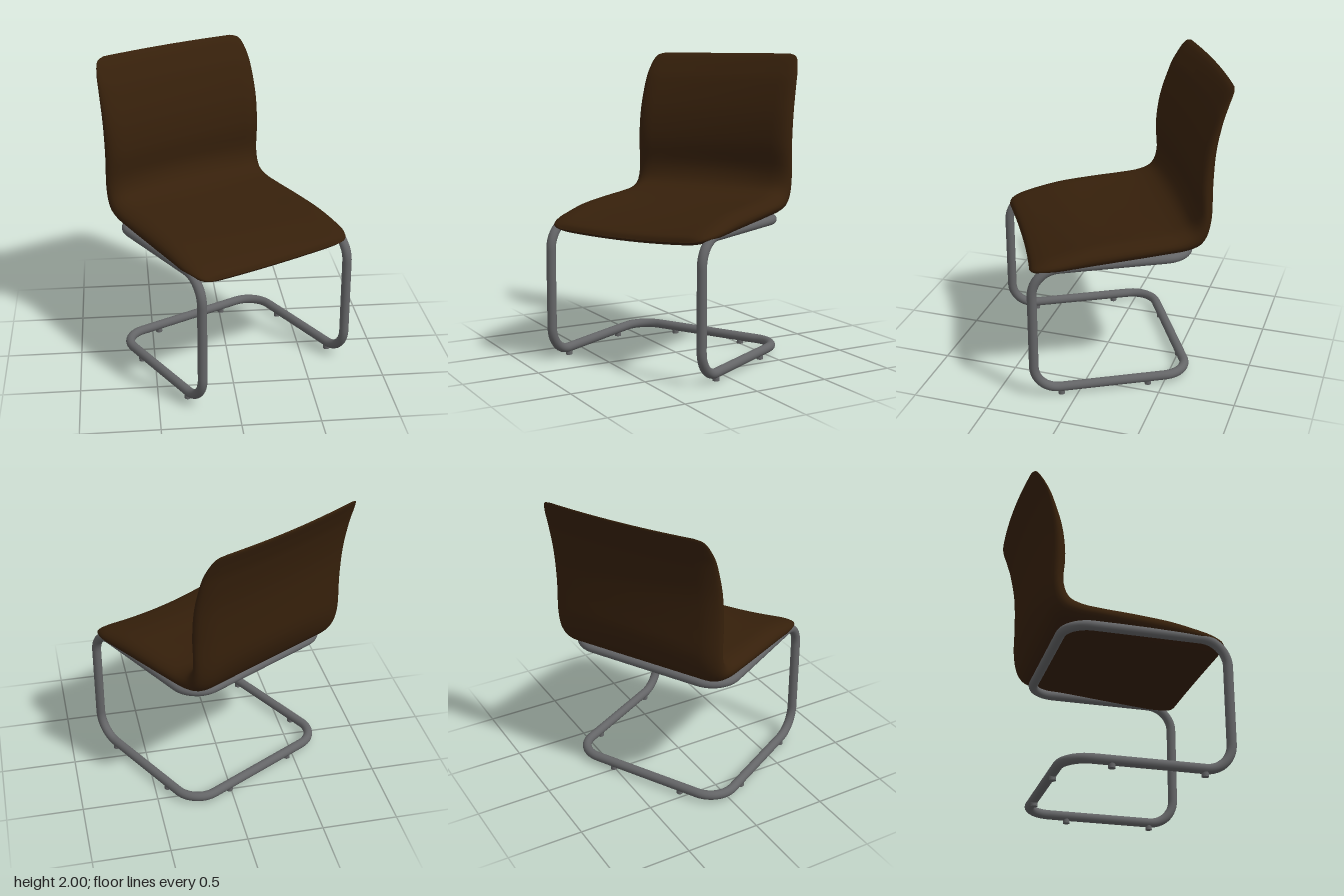
import * as THREE from 'three';

const upholstery = new THREE.MeshStandardMaterial({ color: 0x36200b });
upholstery.name = 'brown upholstery';
const steel = new THREE.MeshStandardMaterial({ color: 0x646567 });
steel.name = 'grey steel';

// Side profile from front lip to top edge:
// sitting-side z, y, rear-side z, y, half width
const PROFILE = [
  [0.605, 0.893, 0.605, 0.893, 0.50],
  [0.588, 0.925, 0.588, 0.876, 0.55],
  [0.540, 0.949, 0.540, 0.871, 0.585],
  [0.450, 0.975, 0.440, 0.874, 0.608],
  [0.240, 1.020, 0.240, 0.888, 0.615],
  [0.000, 1.042, 0.000, 0.908, 0.617],
  [-0.200, 1.053, -0.230, 0.928, 0.617],
  [-0.330, 1.070, -0.420, 0.945, 0.614],
  [-0.415, 1.115, -0.515, 0.995, 0.610],
  [-0.448, 1.220, -0.558, 1.130, 0.608],
  [-0.437, 1.400, -0.560, 1.380, 0.608],
  [-0.465, 1.600, -0.570, 1.600, 0.608],
  [-0.532, 1.800, -0.606, 1.800, 0.602],
  [-0.585, 1.900, -0.638, 1.905, 0.590],
  [-0.635, 1.975, -0.666, 1.980, 0.560],
  [-0.666, 2.000, -0.666, 2.000, 0.500],
];

// Padded shell: flat rings with rounded sides, lofted along the profile
function shellGeometry() {
  const spline = (a, b) => new THREE.SplineCurve(PROFILE.map((p) => new THREE.Vector2(p[a], p[b])));
  const inner = spline(0, 1), outer = spline(2, 3), width = spline(4, 4);
  const steps = 90, arc = 12, flat = 14, round = 0.13;

  // Ring template: side sign * flat part, arc part, thickness position -1..1
  const ring = [];
  for (const side of [1, -1]) {
    for (let i = 0; i <= arc; i++) {
      const a = -Math.PI / 2 + (Math.PI * i) / arc;
      ring.push([side, side * Math.cos(a), side * Math.sin(a)]);
    }
    for (let i = 1; i < flat; i++) ring.push([side * (1 - (2 * i) / flat), 0, side]);
  }

  const positions = [], index = [], n = ring.length;
  for (let s = 0; s <= steps; s++) {
    const t = 0.5 - 0.5 * Math.cos((Math.PI * s) / steps);
    const pi = inner.getPoint(t), po = outer.getPoint(t), w = width.getPoint(t).x;
    for (const [f, c, k] of ring) {
      const x = f * (w - round) + c * round;
      const p = po.clone().lerp(pi, (k + 1) / 2);
      // Dished seat, hollowed front edge and hollowed backrest
      const bow = 1 - Math.min(1, (x / 0.57) ** 2);
      const dip = THREE.MathUtils.smoothstep(p.x, -0.4, 0.1);
      const lip = THREE.MathUtils.smoothstep(p.x, 0.3, 0.6);
      const hollow = THREE.MathUtils.smoothstep(p.y, 1.0, 1.25);
      positions.push(x, p.y - 0.03 * bow * dip, p.x - bow * (0.03 * lip + 0.033 * hollow));
    }
  }
  for (let s = 0; s < steps; s++) {
    for (let j = 0; j < n; j++) {
      const a = s * n + j, b = s * n + ((j + 1) % n);
      index.push(a, a + n, b, b, a + n, b + n);
    }
  }
  const g = new THREE.BufferGeometry();
  g.setAttribute('position', new THREE.Float32BufferAttribute(positions, 3));
  g.setIndex(index);
  g.computeVertexNormals();
  return g;
}

// Closed path with rounded corners
function roundedLoop(points, radius) {
  const path = new THREE.CurvePath(), n = points.length;
  const toward = (a, b, d) => a.clone().add(b.clone().sub(a).setLength(d));
  for (let i = 0; i < n; i++) {
    const prev = points[(i + n - 1) % n], p = points[i], next = points[(i + 1) % n];
    const end = toward(p, next, radius);
    path.add(new THREE.CubicBezierCurve3(
      toward(p, prev, radius), toward(p, prev, radius * 0.448),
      toward(p, next, radius * 0.448), end));
    path.add(new THREE.LineCurve3(end, toward(next, p, radius)));
  }
  return path;
}

export function createModel() {
  const chair = new THREE.Group();
  chair.name = 'cantileverChair';

  const shell = new THREE.Mesh(shellGeometry(), upholstery);
  shell.name = 'seatAndBackrest';
  shell.position.x = -0.008;
  chair.add(shell);

  // One continuous bent tube
  const frame = new THREE.Group();
  frame.name = 'frame';
  frame.position.x = -0.013;
  chair.add(frame);
  const h = 0.571, low = 0.05, high = 0.911, front = 0.597, rear = -0.439;
  const corners = [
    [h, low, front], [h, high, front], [h, high, rear], [-h, high, rear],
    [-h, high, front], [-h, low, front], [-h, low, rear], [h, low, rear],
  ].map((p) => new THREE.Vector3(...p));
  const tube = new THREE.Mesh(
    new THREE.TubeGeometry(roundedLoop(corners, 0.172), 360, 0.031, 16, true), steel);
  tube.name = 'tubeFrame';
  frame.add(tube);

  // Glides under the base
  const glide = new THREE.CylinderGeometry(0.022, 0.022, 0.035, 16);
  for (const side of [1, -1]) {
    for (const [x, z] of [[h, 0.42], [h, -0.155], [0.265, rear]]) {
      const foot = new THREE.Mesh(glide, steel);
      foot.name = 'footGlide';
      foot.position.set(side * x, 0.0175, z);
      frame.add(foot);
    }
  }

  // The chair stands turned to its left
  chair.rotation.y = 0.5;
  const model = new THREE.Group();
  model.name = 'chair';
  model.add(chair);
  return model;
}
